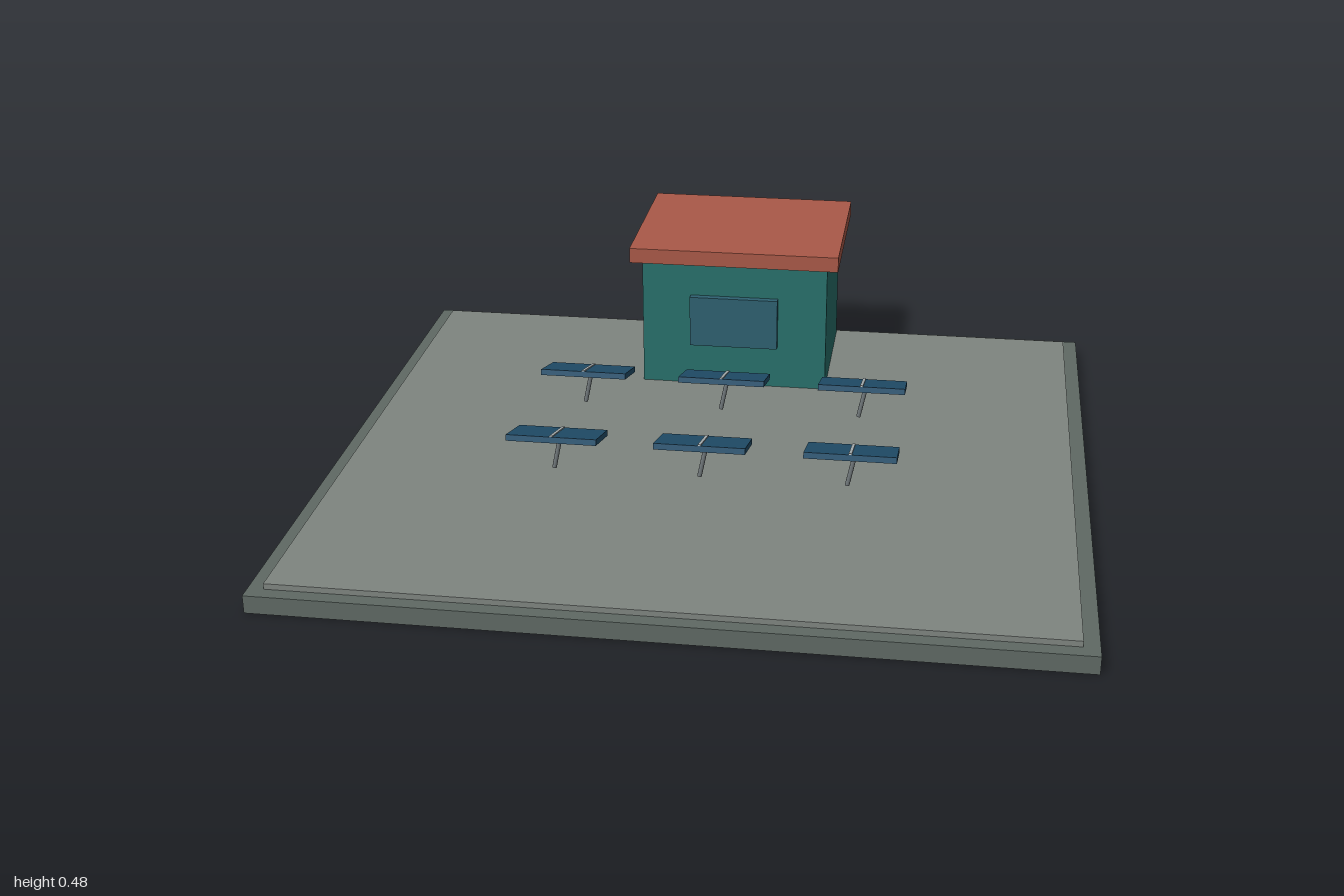
import * as THREE from 'three';

const material = (color) => new THREE.MeshStandardMaterial({ color });
const curbMat = material(0x5f6964);
const floorMat = material(0x7f8580);
const wallMat = material(0x28706b);
const roofMat = material(0xaa5948);
const windowMat = material(0x2e6070);
const panelMat = material(0x22506d);
const stripMat = material(0xb0b8ba);
const postMat = material(0x70777a);

// Box given by its size and centre
function box(name, mat, size, position) {
  const mesh = new THREE.Mesh(new THREE.BoxGeometry(...size), mat);
  mesh.name = name;
  mesh.position.set(...position);
  return mesh;
}

// Tilted panel on a slightly leaning post
function solarPanel(x, z) {
  const group = new THREE.Group();
  group.name = 'solarPanel';
  group.position.set(x, 0, z);

  const post = new THREE.Mesh(new THREE.CylinderGeometry(0.006, 0.006, 0.1, 12), postMat);
  post.name = 'panelPost';
  post.position.y = 0.128;
  post.rotation.z = -0.2;

  const tray = new THREE.Group();
  tray.name = 'panelTray';
  tray.position.y = 0.173;
  tray.rotation.x = -0.28;
  tray.add(
    box('panelBoard', panelMat, [0.238, 0.016, 0.162], [0, 0, 0]),
    box('panelStrip', stripMat, [0.008, 0.004, 0.158], [0, 0.009, 0])
  );
  group.add(post, tray);
  return group;
}

export function createModel() {
  const model = new THREE.Group();
  model.name = 'solarStation';

  // Stepped ground slab
  model.add(
    box('baseSlab', curbMat, [2, 0.047, 1.834], [0, 0.0235, 0]),
    box('floorSlab', floorMat, [1.92, 0.016, 1.76], [0, 0.054, 0])
  );

  // Hut with overhanging flat roof and window
  const hut = new THREE.Group();
  hut.name = 'hut';
  hut.add(
    box('hutWalls', wallMat, [0.53, 0.376, 0.44], [0, 0.249, -0.646]),
    box('hutRoof', roofMat, [0.594, 0.043, 0.5], [0, 0.4565, -0.648]),
    box('hutWindow', windowMat, [0.252, 0.148, 0.022], [0, 0.261, -0.417])
  );
  model.add(hut);

  // Two rows of three panels
  for (const z of [-0.216, 0.211]) {
    for (const x of [-0.387, 0, 0.387]) model.add(solarPanel(x, z));
  }
  return model;
}
